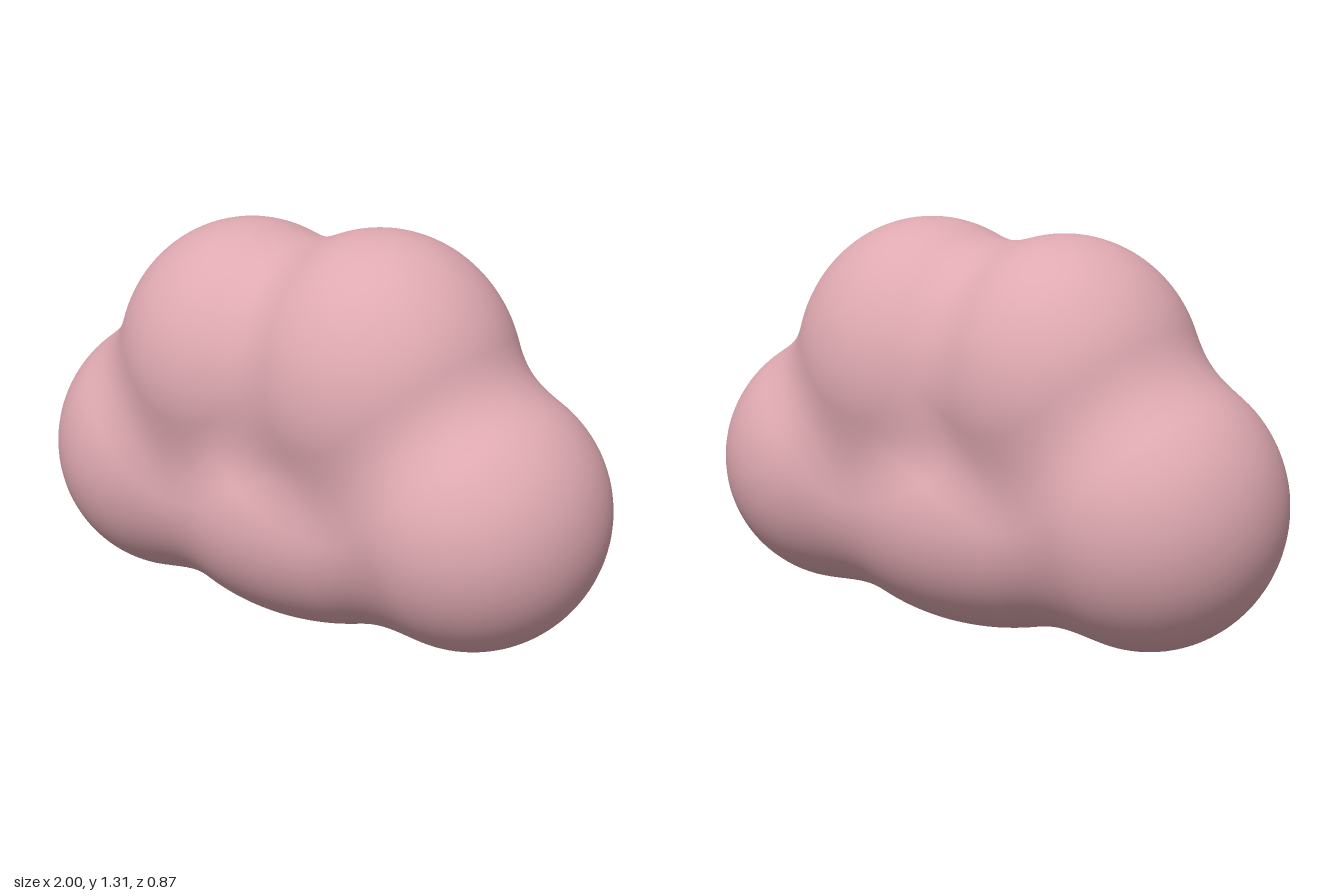
import * as THREE from 'three';

// Puffs of the cloud: centre (x, y) and radii (x, y, z)
const puffs = [
  { c: [0, 0.4], r: [0.62, 0.4, 0.435] },       // base
  { c: [-0.58, 0.465], r: [0.42, 0.44, 0.435] }, // right side
  { c: [0.58, 0.48], r: [0.418, 0.425, 0.435] }, // left side
  { c: [-0.27, 0.83], r: [0.43, 0.45, 0.435] },  // upper right
  { c: [0.23, 0.84], r: [0.445, 0.47, 0.435] },  // upper left
];
const BLEND = 0.12;

// Approximate distance to one ellipsoid puff
function puffDistance(p, { c, r }) {
  const x = p.x - c[0], y = p.y - c[1], z = p.z;
  const k0 = Math.hypot(x / r[0], y / r[1], z / r[2]);
  const k1 = Math.hypot(x / r[0] ** 2, y / r[1] ** 2, z / r[2] ** 2);
  return k0 * (k0 - 1) / Math.max(k1, 1e-6);
}

// Softly blended distance to all puffs
function cloudDistance(p) {
  return puffs.map((puff) => puffDistance(p, puff)).reduce((a, b) => {
    const h = Math.max(BLEND - Math.abs(a - b), 0) / BLEND;
    return Math.min(a, b) - h * h * BLEND / 4;
  });
}

// Surface normal from the slope of the distance
function cloudNormal(p) {
  const e = 0.004;
  const slope = (axis) => {
    const a = p.clone(), b = p.clone();
    a[axis] += e;
    b[axis] -= e;
    return cloudDistance(a) - cloudDistance(b);
  };
  return new THREE.Vector3(slope('x'), slope('y'), slope('z')).normalize();
}

export function createModel() {
  const group = new THREE.Group();
  group.name = 'cloud';
  const pink = new THREE.MeshStandardMaterial({ color: 0xdfa9b1 });
  pink.name = 'soft pink';

  // Shrink a sphere inward along its rays until it meets the blended puffs
  const geometry = new THREE.SphereGeometry(1, 192, 120);
  const pos = geometry.attributes.position, nor = geometry.attributes.normal;
  const centre = new THREE.Vector3(0, 0.6, 0);
  const dir = new THREE.Vector3(), p = new THREE.Vector3();
  for (let i = 0; i < pos.count; i++) {
    dir.fromBufferAttribute(pos, i).normalize();
    let t = 1.4;
    for (let step = 0; step < 100; step++) {
      p.copy(centre).addScaledVector(dir, t);
      const d = cloudDistance(p);
      if (d < 0.0002) break;
      t -= d * 0.7;
    }
    const n = cloudNormal(p);
    pos.setXYZ(i, p.x, p.y, p.z);
    nor.setXYZ(i, n.x, n.y, n.z);
  }

  const body = new THREE.Mesh(geometry, pink);
  body.name = 'cloudBody';
  group.add(body);
  return group;
}
